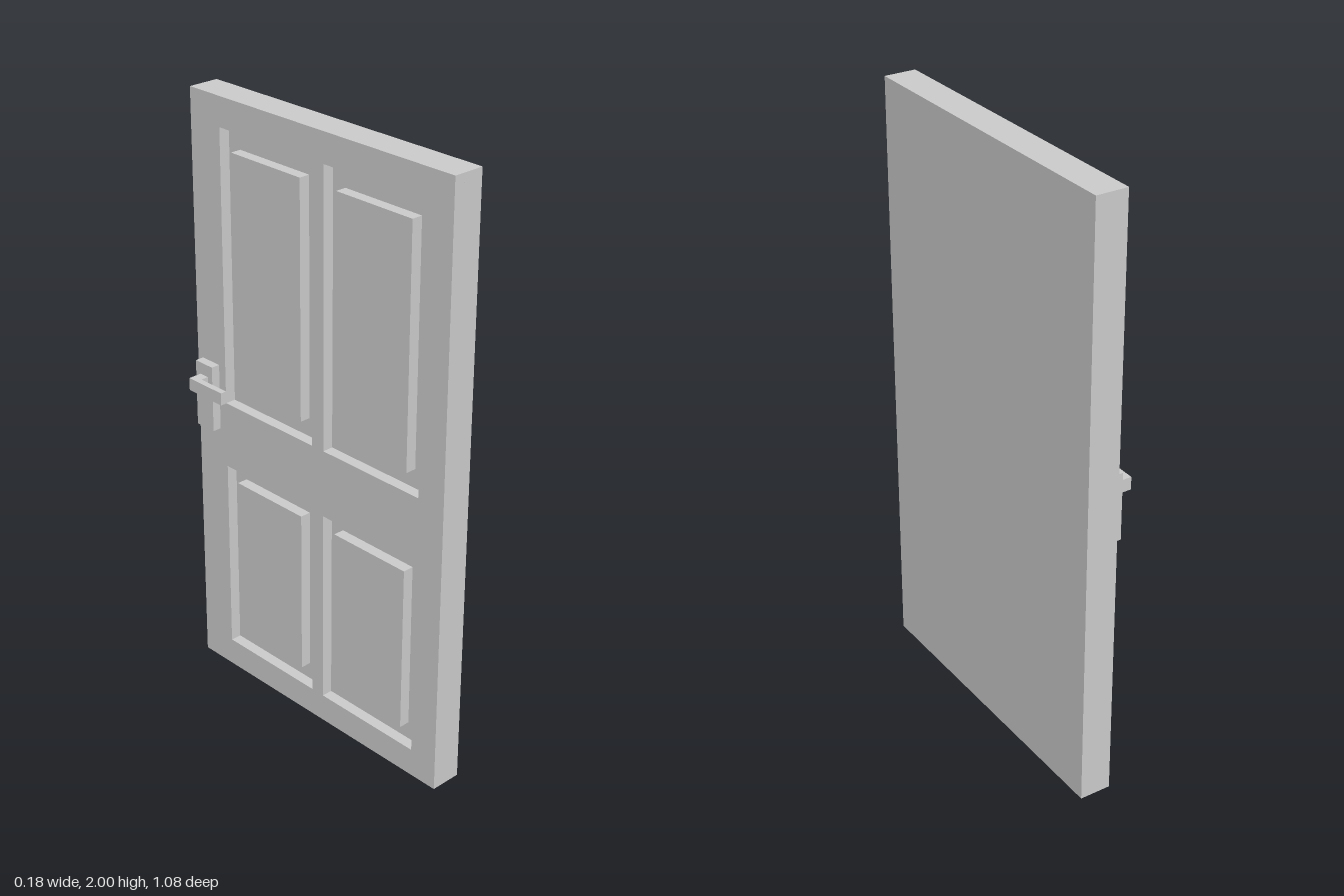
import * as THREE from 'three';

const FACE = -0.016;   // panelled side of the door
const FLOOR = 0.021;   // bottom of the recesses
const BACK = 0.089;    // plain side of the door
const HALF = 0.541;    // half the door width, along z

export function createModel() {
  const door = new THREE.Group();
  door.name = 'door';
  const material = new THREE.MeshStandardMaterial({ color: 0xcccccc, flatShading: true });

  // Box given by its limits on each axis
  function box(name, x0, x1, y0, y1, z0, z1, parent = door) {
    const mesh = new THREE.Mesh(new THREE.BoxGeometry(x1 - x0, y1 - y0, z1 - z0), material);
    mesh.position.set((x0 + x1) / 2, (y0 + y1) / 2, (z0 + z1) / 2);
    mesh.name = name;
    parent.add(mesh);
  }

  function rectangle(target, z0, z1, y0, y1) {
    target.moveTo(z0, y0).lineTo(z1, y0).lineTo(z1, y1).lineTo(z0, y1).closePath();
    return target;
  }

  // Plain slab behind the frame
  box('slab', FLOOR, BACK, 0, 2, -HALF, HALF);

  // Frame with four openings, each holding a raised panel
  const frame = rectangle(new THREE.Shape(), -HALF, HALF, 0, 2);
  const columns = [[-0.41, -0.01], [0.04, 0.44]];
  const rows = [
    { opening: [0.095, 0.765], panel: [0.155, 0.722] },
    { opening: [0.992, 1.904], panel: [1.055, 1.838] },
  ];
  for (const [z0, z1] of columns) {
    for (const { opening, panel } of rows) {
      frame.holes.push(rectangle(new THREE.Path(), z0, z1, ...opening));
      box('raisedPanel', FACE, FLOOR, ...panel, z0 + 0.05, z1 - 0.05);
    }
  }
  const frameGeometry = new THREE.ExtrudeGeometry(frame, { depth: FLOOR - FACE, bevelEnabled: false });
  frameGeometry.rotateY(-Math.PI / 2).translate(FLOOR, 0, 0);
  const frameMesh = new THREE.Mesh(frameGeometry, material);
  frameMesh.name = 'frame';
  door.add(frameMesh);

  // Handle: back plate, neck and lever
  const handle = new THREE.Group();
  handle.name = 'handle';
  door.add(handle);
  box('backPlate', -0.046, FACE, 0.891, 1.116, -0.518, -0.44, handle);
  box('neck', -0.072, -0.046, 1.034, 1.076, -0.496, -0.461, handle);
  box('lever', -0.093, -0.072, 1.034, 1.076, -0.496, -0.343, handle);

  return door;
}
